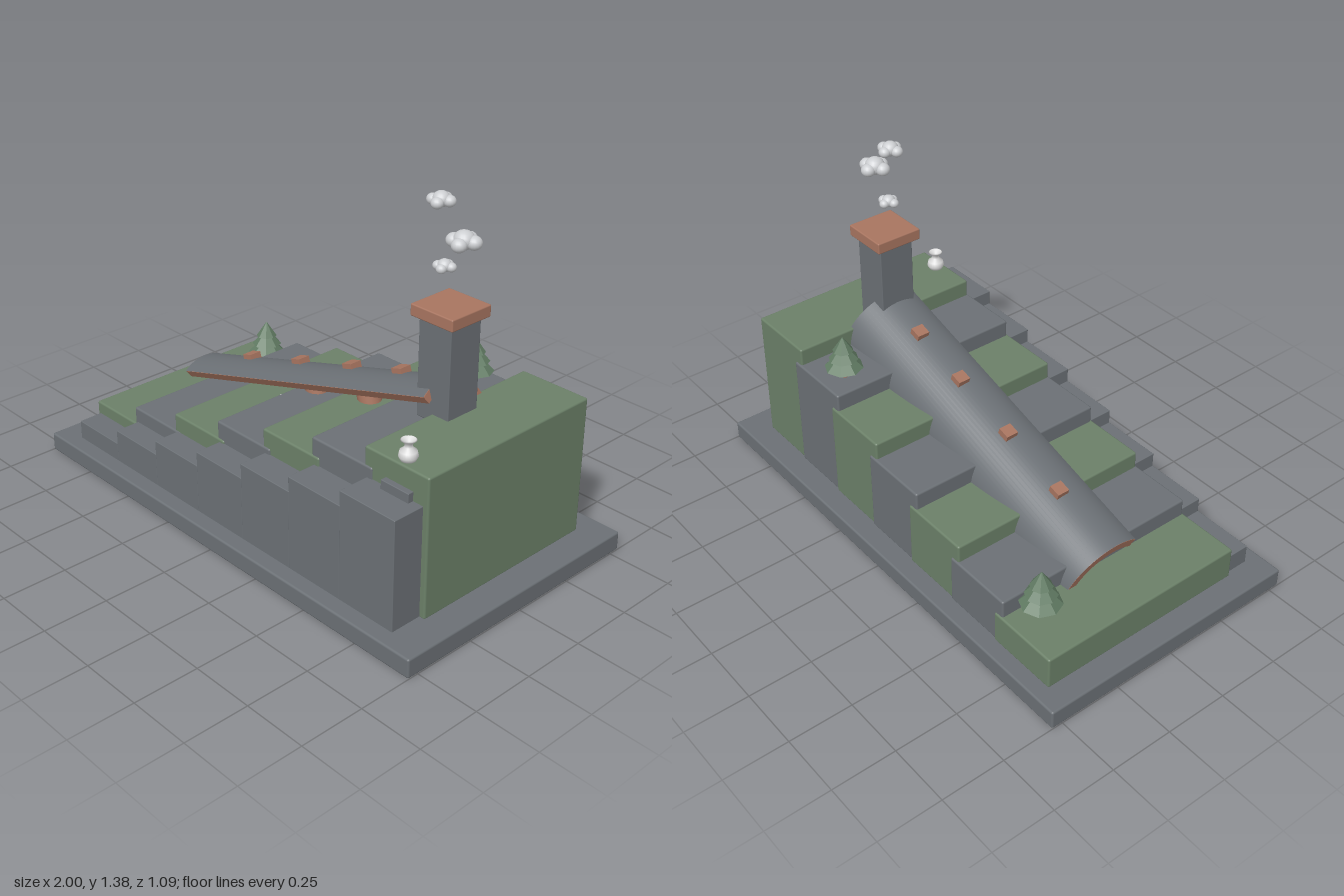
import * as THREE from 'three';
import { RoundedBoxGeometry } from 'three/addons/geometries/RoundedBoxGeometry.js';
import { toCreasedNormals } from 'three/addons/utils/BufferGeometryUtils.js';

const paint = (name, color) => Object.assign(new THREE.MeshStandardMaterial({ color }), { name });

export function createModel() {
  const stone = paint('stone grey', 0x6b7075);
  const moss = paint('moss green', 0x6b8068);
  const clay = paint('terracotta', 0xa87560);
  const pine = paint('pine green', 0x627c64);
  const pale = paint('glazed white', 0xdcdcdc);
  const vapour = paint('smoke grey', 0xcdcfd2);
  const model = new THREE.Group();
  model.name = 'hillsideKiln';

  const add = (name, geo, mat, x, y, z, parent = model) => {
    const m = new THREE.Mesh(geo, mat);
    m.name = name;
    m.position.set(x, y, z);
    parent.add(m);
    return m;
  };
  // Softly bevelled block given by its limits
  const block = (name, mat, x0, x1, y0, y1, z0, z1, r = 0.008) =>
    add(name, new RoundedBoxGeometry(x1 - x0, y1 - y0, z1 - z0, 2, r), mat,
      (x0 + x1) / 2, (y0 + y1) / 2, (z0 + z1) / 2);

  block('base', stone, -1, 1, 0, 0.075, -0.545, 0.545);

  // Terraces climb towards +x, with a stepped retaining wall in front
  for (let i = 0; i < 7; i++) {
    const x = -0.905 + i * 0.25;
    block('terrace', i % 2 ? stone : moss, x, x + 0.29, 0.07, 0.2 + i * 0.0685,
      -0.482 + i * 0.006, 0.382 - i * 0.005);
    block('retainingWall', stone, x + 0.015, x + 0.267, 0.07, 0.15 + i * 0.0583, 0.3, 0.48, 0.003);
  }
  block('wallStep', stone, 0.693, 0.818, 0.49, 0.535, 0.33, 0.375, 0.003);

  // Sloping vault, open towards the front
  const R = 0.185, T = 0.034, L = 1.366, deg = Math.PI / 180;
  const front = 34.6, back = 95;
  const vault = new THREE.Group();
  vault.name = 'vault';
  vault.position.set(-0.075, 0.52, -0.035);
  vault.rotation.z = 16.5 * deg;
  model.add(vault);
  const arch = new THREE.Shape();
  arch.absarc(0, 0, R, (90 - back) * deg, (90 + front) * deg, false);
  arch.absarc(0, 0, R - T, (90 + front) * deg, (90 - back) * deg, true);
  const lining = new THREE.ExtrudeGeometry(arch, { depth: L, bevelEnabled: false, curveSegments: 28 });
  lining.translate(0, 0, -L / 2).rotateY(Math.PI / 2);
  add('vaultLining', toCreasedNormals(lining, 0.5), clay, 0, -R, 0, vault);
  const skin = new THREE.CylinderGeometry(R + 0.002, R + 0.002, L, 28, 1, true,
    (90 - front) * deg, (front + back) * deg).rotateZ(Math.PI / 2);
  add('vaultSkin', skin, stone, 0, -R, 0, vault);

  // Stoke-hole bricks along the ridge
  for (const x of [-0.455, -0.17, 0.11, 0.36]) {
    const s = (x + 0.075) / Math.cos(16.5 * deg);
    add('ridgeBrick', new THREE.BoxGeometry(0.048, 0.036, 0.05), clay, s, 0.003, -0.025, vault);
  }
  // Clay drums inside the vault
  for (const x of [-0.39, -0.09, 0.19]) {
    const y = 0.5 + (x - 0.19) * 0.296;
    const drum = add('clayDrum', new THREE.CylinderGeometry(0.045, 0.045, 0.07, 20), clay, x, y - 0.02, -0.07);
    const rim = add('drumRim', new THREE.CylinderGeometry(0.055, 0.055, 0.02, 20), clay, x - 0.006, y + 0.015, -0.07);
    drum.rotation.z = rim.rotation.z = 16.5 * deg;
  }
  add('innerDish', new THREE.CylinderGeometry(0.03, 0.022, 0.025, 16), pale, -0.19, 0.345, 0);

  // Chimney
  block('chimney', stone, 0.527, 0.672, 0.58, 0.965, -0.108, 0.037, 0.003);
  block('chimneyCap', clay, 0.505, 0.695, 0.955, 1.0, -0.13, 0.06, 0.005);

  // Smoke puffs: [x, y, size]
  const lobes = [[0, 0.05, 0, 0.62], [-0.55, -0.05, 0.2, 0.45], [0.55, -0.02, -0.2, 0.45],
    [0.15, -0.08, 0.55, 0.45], [-0.1, -0.05, -0.55, 0.45]];
  for (const [x, y, s] of [[0.565, 1.125, 0.041], [0.645, 1.237, 0.061], [0.54, 1.35, 0.05]]) {
    const puff = new THREE.Group();
    puff.name = 'smokePuff';
    puff.position.set(x, y, -0.035);
    puff.scale.set(s, s, s);
    model.add(puff);
    for (const [a, b, c, r] of lobes)
      add('smokeLobe', new THREE.SphereGeometry(r, 16, 12), vapour, a, b, c, puff).scale.y = 0.9;
  }

  // Conifers with three faceted tiers: [x, ground, scale]
  for (const [x, y, s] of [[-0.712, 0.2, 1], [0.44, 0.543, 0.95]]) {
    const tree = new THREE.Group();
    tree.name = 'tree';
    tree.position.set(x, y, -0.355);
    tree.scale.setScalar(s);
    model.add(tree);
    add('trunk', new THREE.CylinderGeometry(0.013, 0.016, 0.06, 8), clay, 0, 0.03, 0, tree);
    [[0.078, 0.045, 0.08], [0.06, 0.085, 0.07], [0.042, 0.122, 0.062]].forEach(([r, y0, h]) =>
      add('foliage', new THREE.ConeGeometry(r, h, 8).toNonIndexed(), pine, 0, y0 + h / 2, 0, tree)
        .geometry.computeVertexNormals());
  }

  // Glazed bottle on the top terrace
  const profile = [[0, 0], [0.026, 0], [0.034, 0.016], [0.03, 0.034], [0.014, 0.048],
    [0.014, 0.062], [0.028, 0.074], [0.024, 0.076], [0.01, 0.064], [0, 0.06]];
  add('bottle', new THREE.LatheGeometry(profile.map(p => new THREE.Vector2(...p)), 24),
    pale, 0.755, 0.61, 0.313);

  return model;
}
